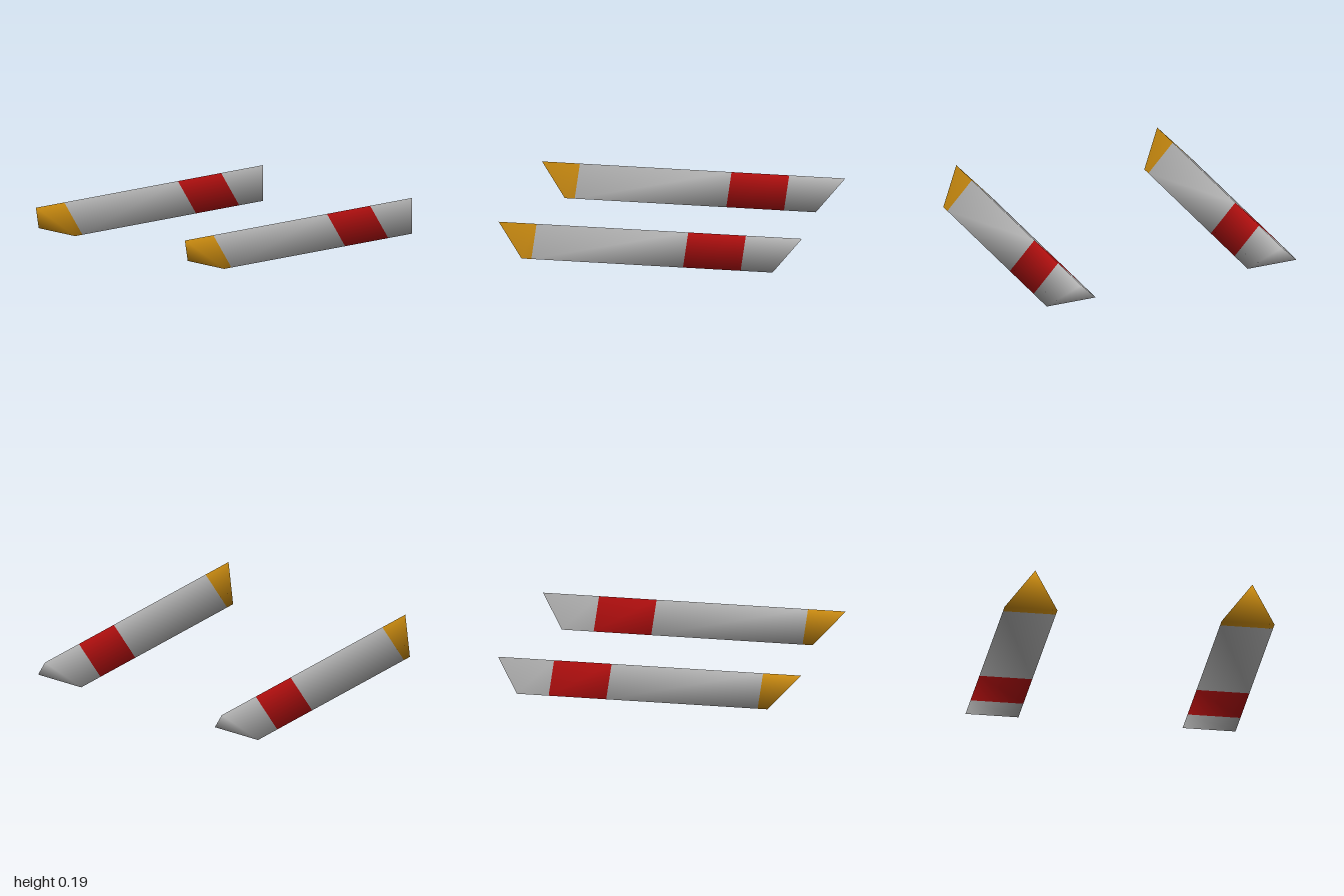
import * as THREE from 'three';

// Profile corners, counter-clockwise from the front: ridge, -x corner, +x corner
const HALF = 0.173, HEIGHT = 0.187;
const FRONT = [[0, HEIGHT, 1], [-HALF, 0, 0.815], [HALF, 0, 0.815]];
const BACK = [[0, HEIGHT, -1], [-HALF, 0, -0.84], [HALF, 0, -0.84]];
const FRONT_CAP = [0, 1, 2], BACK_CAP = [3, 5, 4];

// Triangles joining two three-cornered rings, front ring first
function wallIndex() {
  const index = [];
  for (let a = 0; a < 3; a++) {
    const b = (a + 1) % 3;
    index.push(a, a + 3, b + 3, a, b + 3, b);
  }
  return index;
}

// Smooth normals of the whole bar, shared by its coloured sections
function barNormals() {
  const g = new THREE.BufferGeometry();
  g.setAttribute('position', new THREE.Float32BufferAttribute([...FRONT, ...BACK].flat(), 3));
  g.setIndex([...wallIndex(), ...FRONT_CAP, ...BACK_CAP]);
  g.computeVertexNormals();
  return [0, 1, 2, 3, 4, 5].map((i) => new THREE.Vector3().fromBufferAttribute(g.attributes.normal, i));
}

// Section between two cuts; a null cut means the slanted end of the bar
function barSection(zFront, zBack) {
  const normals = barNormals(), position = [], normal = [];
  for (const [cut, end] of [[zFront, 0], [zBack, 1]]) {
    for (let i = 0; i < 3; i++) {
      const f = new THREE.Vector3(...FRONT[i]), b = new THREE.Vector3(...BACK[i]);
      const t = cut === null ? end : (f.z - cut) / (f.z - b.z);
      position.push(...f.lerp(b, t).toArray());
      normal.push(...normals[i].clone().lerp(normals[i + 3], t).normalize().toArray());
    }
  }
  const index = wallIndex();
  if (zFront === null) index.push(...FRONT_CAP);
  if (zBack === null) index.push(...BACK_CAP);
  const g = new THREE.BufferGeometry();
  g.setAttribute('position', new THREE.Float32BufferAttribute(position, 3));
  g.setAttribute('normal', new THREE.Float32BufferAttribute(normal, 3));
  g.setIndex(index);
  return g;
}

export function createModel() {
  const material = (name, color) => {
    const m = new THREE.MeshStandardMaterial({ color });
    m.name = name;
    return m;
  };
  const grey = material('grey', 0xb4b4b4);
  const red = material('red', 0xb40f0f);
  const yellow = material('yellow', 0xcc8c10);

  // Sections from the front tip to the back tip
  const sections = [
    ['frontTip', null, 0.75, yellow],
    ['body', 0.75, -0.25, grey],
    ['band', -0.25, -0.63, red],
    ['backTip', -0.63, null, grey],
  ].map(([name, z0, z1, mat]) => [name, barSection(z0, z1), mat]);

  const model = new THREE.Group();
  model.name = 'pairOfBars';
  for (const side of [1, -1]) {
    const bar = new THREE.Group();
    bar.name = side > 0 ? 'leftBar' : 'rightBar';
    bar.position.x = side * 0.71;
    for (const [name, geometry, mat] of sections) {
      const mesh = new THREE.Mesh(geometry, mat);
      mesh.name = name;
      bar.add(mesh);
    }
    model.add(bar);
  }
  return model;
}
